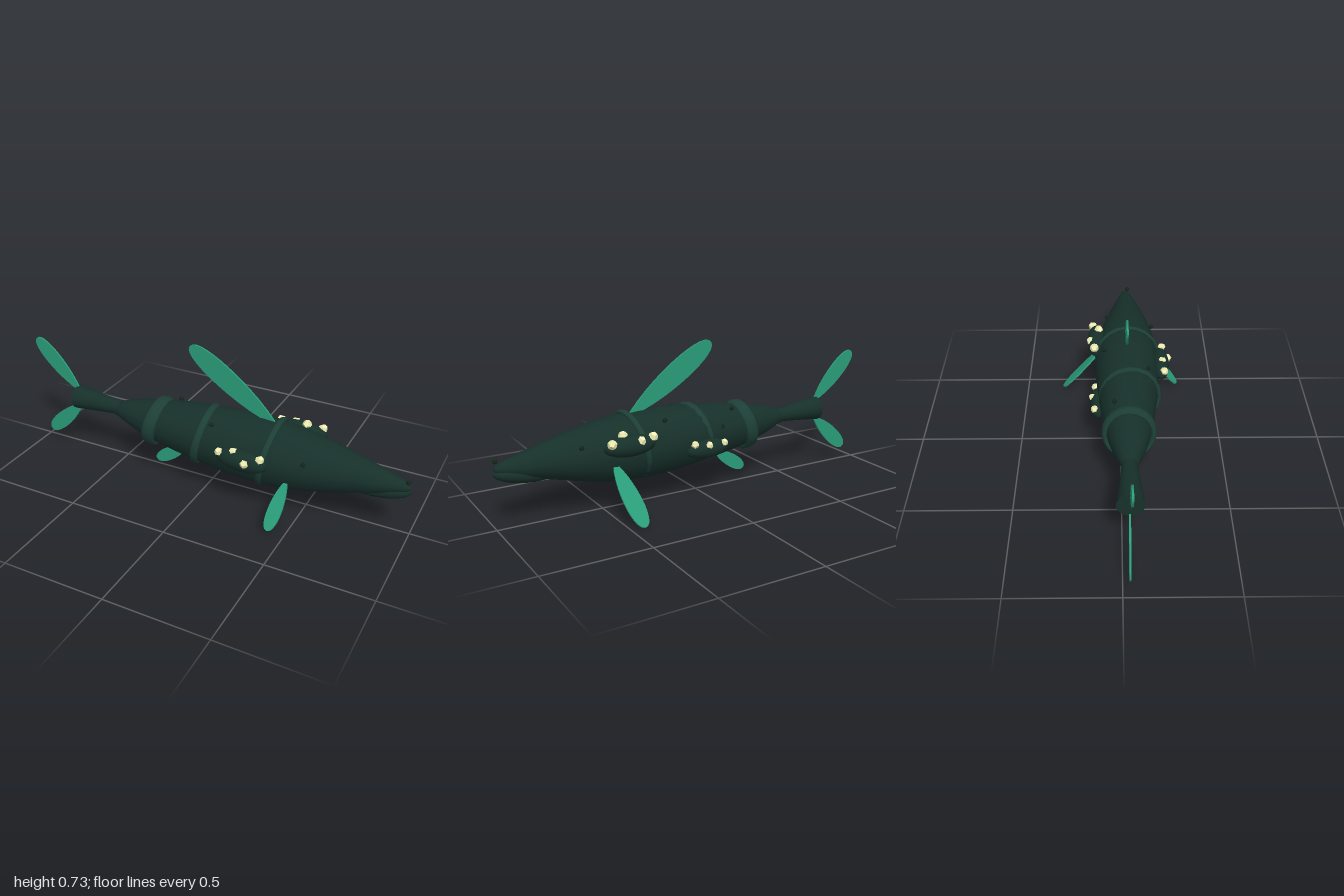
import * as THREE from 'three';

const V = (x, y, z) => new THREE.Vector3(x, y, z);
const AXIS_Z = 0.035;

const mat = (color, extra = {}) => new THREE.MeshStandardMaterial({ color, ...extra });
const skin = mat(0x17302a);
const bandSkin = mat(0x1d3f36);
const finSkin = mat(0x2a9d78);
const shell = mat(0xf0eeb4, { flatShading: true });
const wartSkin = mat(0x14261c, { flatShading: true });

function add(parent, name, geometry, material) {
  const mesh = new THREE.Mesh(geometry, material);
  mesh.name = name;
  parent.add(mesh);
  return mesh;
}

// Closed loft along x through round sections [x, top, bottom]
function loft(sections, sides = 16) {
  const pos = [], idx = [];
  const ring = ([x, top, bottom]) => {
    const r = (top - bottom) / 2, cy = (top + bottom) / 2;
    for (let j = 0; j < sides; j++) {
      const a = (j / sides) * Math.PI * 2;
      pos.push(x, cy + r * Math.cos(a), AXIS_Z + r * Math.sin(a));
    }
  };
  sections.forEach(ring);
  for (let i = 0; i < sections.length - 1; i++) {
    for (let j = 0; j < sides; j++) {
      const a = i * sides + j, b = i * sides + (j + 1) % sides;
      idx.push(a, b, a + sides, b, b + sides, a + sides);
    }
  }
  // Caps have their own rims so that the end edges stay sharp
  [sections[0], sections[sections.length - 1]].forEach((section, front) => {
    const c = pos.length / 3;
    pos.push(section[0], (section[1] + section[2]) / 2, AXIS_Z);
    ring(section);
    for (let j = 0; j < sides; j++) {
      const p = c + 1 + j, q = c + 1 + (j + 1) % sides;
      idx.push(c, front ? p : q, front ? q : p);
    }
  });
  const g = new THREE.BufferGeometry();
  g.setAttribute('position', new THREE.Float32BufferAttribute(pos, 3));
  g.setIndex(idx);
  g.computeVertexNormals();
  return g;
}

// Thin paddle running from base to tip, its breadth lying towards 'across'
function addFin(parent, name, base, tip, width, across, thickness = 0.009) {
  const dir = tip.clone().sub(base), L = dir.length(), w = width / 2;
  const s = new THREE.Shape();
  s.moveTo(0, -w * 0.15);
  s.bezierCurveTo(L * 0.25, -w * 0.9, L * 0.5, -w * 1.05, L * 0.7, -w);
  s.bezierCurveTo(L * 0.88, -w * 0.9, L, -w * 0.6, L, 0);
  s.bezierCurveTo(L, w * 0.6, L * 0.88, w * 0.9, L * 0.7, w);
  s.bezierCurveTo(L * 0.5, w * 1.05, L * 0.25, w * 0.9, 0, w * 0.15);
  const g = new THREE.ExtrudeGeometry(s, { depth: thickness, bevelEnabled: false, curveSegments: 6 });
  g.translate(0, 0, -thickness / 2);
  const fin = add(parent, name, g, finSkin);
  dir.normalize();
  const normal = dir.clone().cross(across).normalize();
  const broad = normal.clone().cross(dir);
  fin.quaternion.setFromRotationMatrix(new THREE.Matrix4().makeBasis(dir, broad, normal));
  fin.position.copy(base);
}

// Dark swelling with pale barnacles on it
function addCluster(parent, name, center, radii, tilt, barnacles, size) {
  const group = new THREE.Group();
  group.name = name;
  const lump = add(group, 'lump', new THREE.SphereGeometry(1, 14, 10), skin);
  lump.scale.copy(radii);
  lump.position.copy(center);
  lump.rotation.z = tilt;
  barnacles.forEach(([x, y, z], i) => {
    const b = add(group, 'barnacle', new THREE.DodecahedronGeometry(size), shell);
    b.position.set(x, y, z);
    b.rotation.set(i, i * 0.7, 0);
  });
  parent.add(group);
}

export function createModel() {
  const model = new THREE.Group();
  model.name = 'fish';

  // Body, tail stock and jaw
  add(model, 'body', loft([
    [-0.545, 0.318, 0.262], [-0.5, 0.335, 0.25], [-0.42, 0.363, 0.218], [-0.3, 0.39, 0.182],
    [-0.15, 0.412, 0.157], [0, 0.427, 0.135], [0.15, 0.436, 0.119], [0.28, 0.438, 0.113],
    [0.4, 0.43, 0.117], [0.52, 0.411, 0.133], [0.64, 0.386, 0.16], [0.76, 0.356, 0.19],
    [0.86, 0.328, 0.213], [0.94, 0.304, 0.237], [0.975, 0.291, 0.25], [0.987, 0.276, 0.262],
  ]), skin);
  add(model, 'tailStock', loft([[-0.765, 0.363, 0.24], [-0.64, 0.348, 0.252], [-0.5, 0.33, 0.264]], 14), skin);
  const jaw = add(model, 'jaw', new THREE.SphereGeometry(1, 16, 12), skin);
  jaw.scale.set(0.14, 0.04, 0.046);
  jaw.position.set(0.855, 0.229, 0.033);
  jaw.rotation.z = 0.14;

  // Tilted bands wrapped round the body: x, y, z, radius, tube, stretch, tilt, yaw
  [
    [-0.28, 0.285, 0.037, 0.113, 0.016, 2.3, -0.22, 0],
    [-0.015, 0.286, 0.045, 0.143, 0.011, 1.8, -0.22, 0.09],
    [0.328, 0.28, 0.038, 0.16, 0.009, 1.7, -0.2, 0.05],
  ].forEach(([x, y, z, r, tube, stretch, tilt, yaw]) => {
    const g = new THREE.TorusGeometry(r, tube, 8, 20);
    g.scale(1, 1, stretch);
    g.rotateY(Math.PI / 2);
    const band = add(model, 'band', g, bandSkin);
    band.position.set(x, y, z);
    band.rotation.set(0, yaw, tilt);
  });

  // Fins
  const up = V(0, 1, 0);
  addFin(model, 'dorsalFin', V(0.335, 0.42, 0.031), V(-0.105, 0.722, 0.031), 0.112, up);
  addFin(model, 'upperTailFin', V(-0.755, 0.345, 0.037), V(-0.995, 0.585, 0.037), 0.088, up);
  addFin(model, 'lowerTailFin', V(-0.755, 0.25, 0.032), V(-0.96, 0.06, 0.032), 0.08, up);
  addFin(model, 'analFin', V(-0.13, 0.168, 0.032), V(-0.302, 0.055, 0.032), 0.066, up);
  addFin(model, 'rightPectoralFin', V(0.455, 0.222, 0.162), V(0.428, 0.031, 0.308), 0.068, V(1, 0.06, 0.08));
  addFin(model, 'leftPectoralFin', V(0.475, 0.245, -0.085), V(0.435, 0.008, -0.308), 0.085, V(1, -0.06, 0.08));

  // Barnacle clusters
  addCluster(model, 'rightCluster', V(0.245, 0.296, 0.205), V(0.13, 0.052, 0.044), -0.04,
    [[0.14, 0.322, 0.219], [0.21, 0.336, 0.212], [0.278, 0.307, 0.242], [0.342, 0.33, 0.214]], 0.021);
  addCluster(model, 'leftFrontCluster', V(0.41, 0.327, -0.12), V(0.13, 0.05, 0.05), 0,
    [[0.3, 0.355, -0.132], [0.37, 0.35, -0.15], [0.44, 0.374, -0.11], [0.508, 0.352, -0.143]], 0.023);
  addCluster(model, 'leftRearCluster', V(0, 0.242, -0.108), V(0.115, 0.046, 0.042), 0,
    [[-0.085, 0.263, -0.126], [0.005, 0.266, -0.137], [0.075, 0.275, -0.124]], 0.019);

  // Small warts and the bead on the snout
  [
    [0.53, 0.333, 0.167], [0.06, 0.4, 0.138], [-0.19, 0.395, -0.03], [0.21, 0.405, -0.08],
    [0.62, 0.335, -0.067], [-0.1, 0.33, -0.085], [0.975, 0.303, 0.046],
  ].forEach(([x, y, z]) => {
    add(model, 'wart', new THREE.IcosahedronGeometry(0.013), wartSkin).position.set(x, y, z);
  });

  return model;
}
